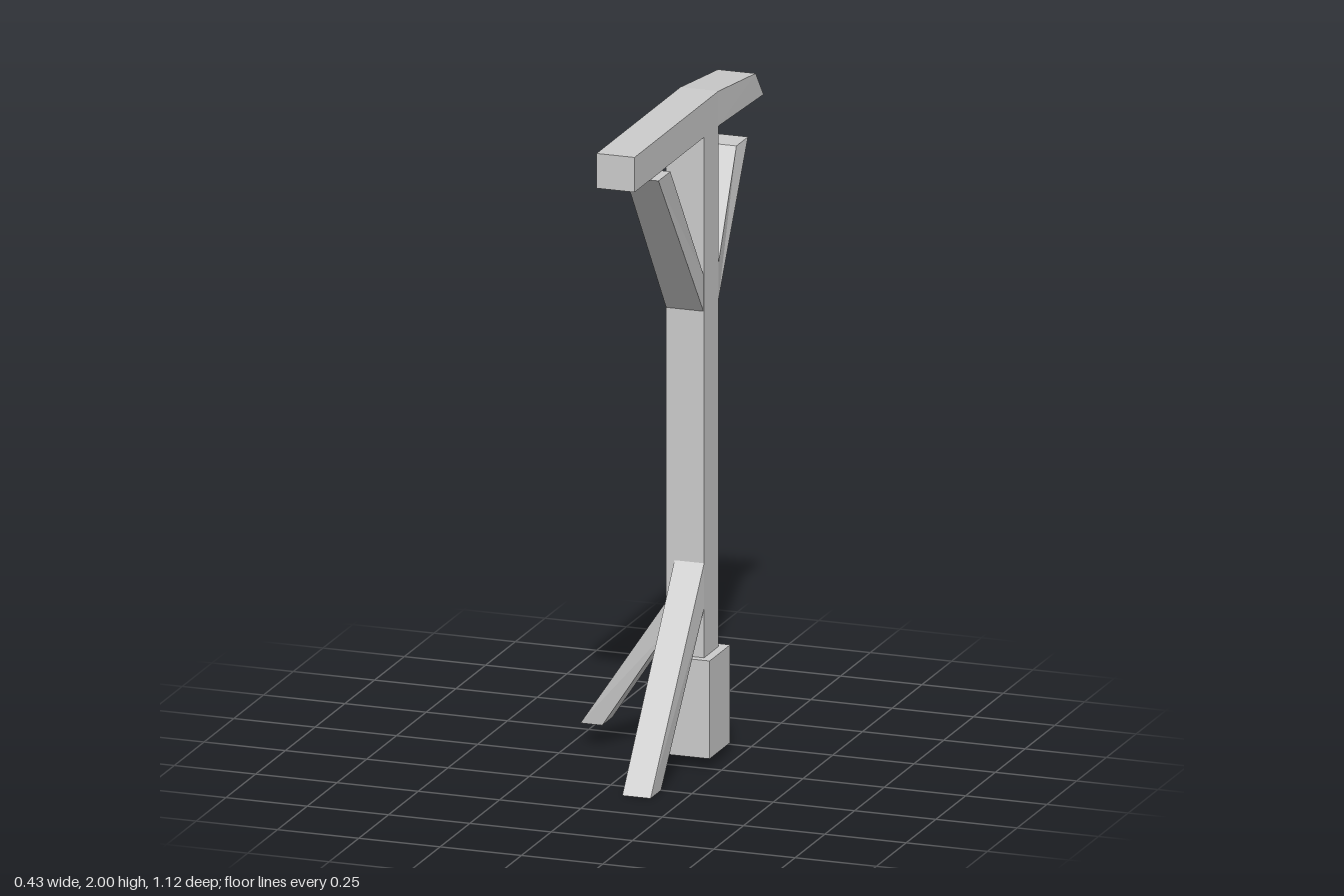
import * as THREE from 'three';

const material = new THREE.MeshStandardMaterial({ color: 0xcccccc, flatShading: true });

// Box-shaped part given by its min and max corners
function block(name, min, max) {
  const size = max.map((v, i) => v - min[i]);
  const mesh = new THREE.Mesh(new THREE.BoxGeometry(...size), material);
  mesh.position.set(...max.map((v, i) => (v + min[i]) / 2));
  mesh.name = name;
  return mesh;
}

// Skewed timber: four outline corners [h, y, low, high], counter-clockwise with y up.
// across 'x': h is z and low/high are x; across 'z': h is x and low/high are z.
function timber(name, across, corners) {
  const geometry = new THREE.BoxGeometry(1, 1, 1);
  const p = geometry.attributes.position;
  for (let i = 0; i < p.count; i++) {
    const h = across === 'x' ? p.getZ(i) : p.getX(i);
    const side = across === 'x' ? p.getX(i) : p.getZ(i);
    const index = p.getY(i) < 0 ? (h < 0 ? 0 : 1) : (h < 0 ? 3 : 2);
    const [a, y, low, high] = corners[index];
    const b = side < 0 ? low : high;
    if (across === 'x') p.setXYZ(i, b, y, a);
    else p.setXYZ(i, a, y, b);
  }
  geometry.computeVertexNormals();
  const mesh = new THREE.Mesh(geometry, material);
  mesh.name = name;
  return mesh;
}

export function createModel() {
  const group = new THREE.Group();
  group.name = 'woodenPost';

  // Upright on its footing, carrying the top beam
  group.add(block('footing', [0.043, 0.03, -0.173], [0.213, 0.325, 0]));
  group.add(block('post', [0.07, 0.325, -0.145], [0.187, 1.895, -0.025]));
  group.add(block('beam', [0.07, 1.895, -0.145], [0.187, 2, 0.56]));

  // Tapered, slightly bent rear end of the beam
  group.add(timber('beamTail', 'x', [
    [-0.508, 1.888, 0.077, 0.193], [-0.145, 1.895, 0.07, 0.187],
    [-0.145, 2, 0.07, 0.187], [-0.442, 1.97, 0.077, 0.193],
  ]));

  // Upper braces
  group.add(timber('frontBrace', 'x', [
    [-0.025, 1.37, 0.07, 0.185], [0.43, 1.895, 0.112, 0.213],
    [0.33, 1.895, 0.112, 0.213], [-0.025, 1.48, 0.07, 0.185],
  ]));
  group.add(timber('backBrace', 'x', [
    [-0.555, 1.74, 0.028, 0.128], [-0.145, 1.37, 0.07, 0.187],
    [-0.145, 1.48, 0.07, 0.187], [-0.458, 1.74, 0.028, 0.128],
  ]));

  // Lower props
  group.add(timber('frontProp', 'x', [
    [0.25, 0, 0.068, 0.155], [0.338, 0, 0.068, 0.155],
    [-0.025, 0.61, 0.096, 0.187], [-0.025, 0.475, 0.096, 0.187],
  ]));
  group.add(timber('sideProp', 'z', [
    [-0.217, 0.068, -0.175, -0.09], [-0.15, 0.068, -0.175, -0.09],
    [0.07, 0.395, -0.145, -0.06], [0.07, 0.49, -0.145, -0.06],
  ]));

  return group;
}
